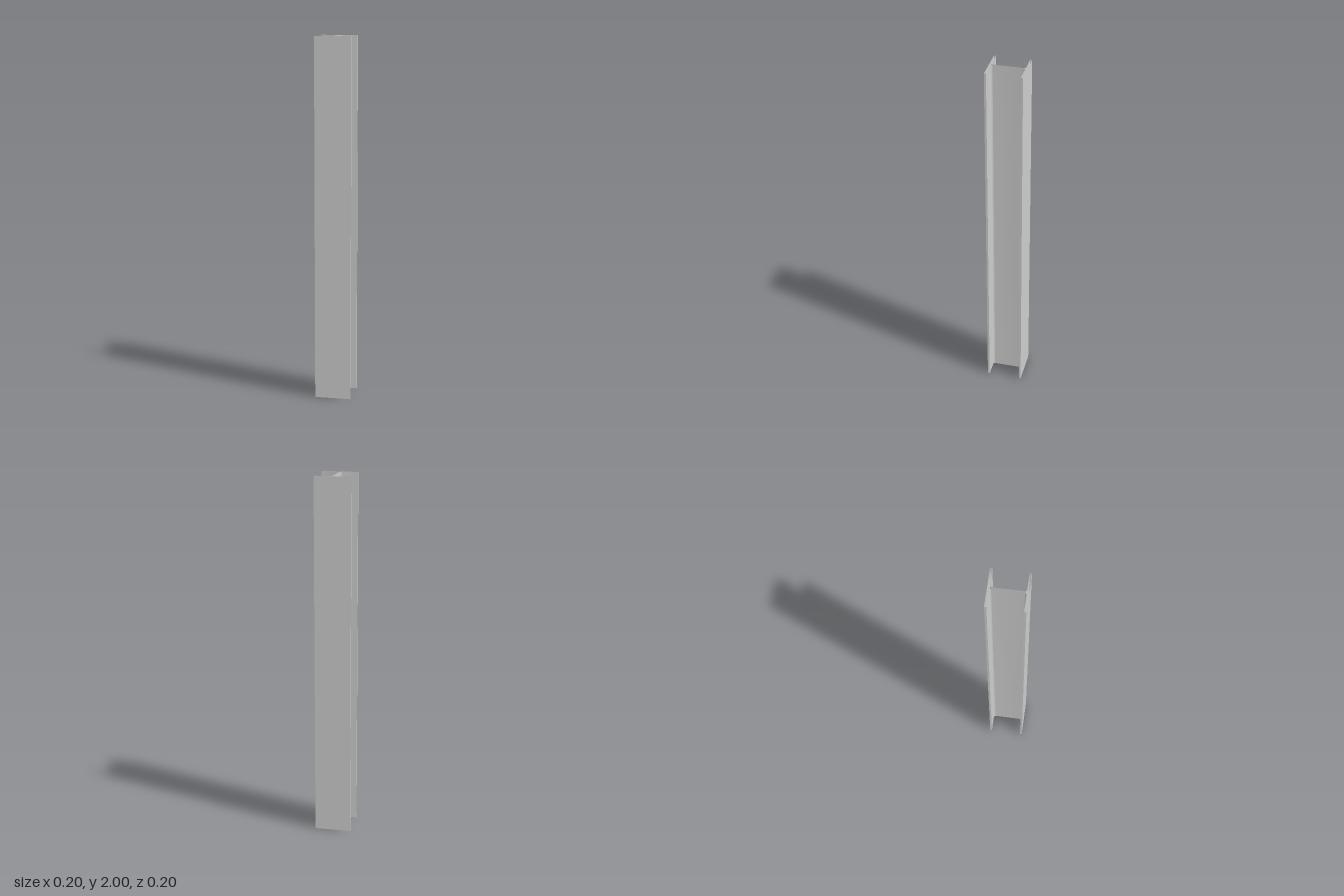
import * as THREE from 'three';
import { toCreasedNormals } from 'three/addons/utils/BufferGeometryUtils.js';

const LENGTH = 2;
const HALF_WIDTH = 0.1;   // flange half width (x)
const HALF_DEPTH = 0.1;   // section half depth (z)
const FLANGE = 0.011;     // flange thickness
const HALF_WEB = 0.0036;  // half the web thickness
const FILLET = 0.01;      // root radius between web and flange

// H-shaped cross-section with rounded roots, counter-clockwise
function sectionShape() {
  const w = HALF_WIDTH, d = HALF_DEPTH, t = HALF_WEB, r = FILLET;
  const inner = d - FLANGE;
  const c = t + r, k = inner - r;
  const s = new THREE.Shape();
  s.moveTo(-w, -d);
  s.lineTo(w, -d);
  s.lineTo(w, -inner);
  s.lineTo(c, -inner);
  s.absarc(c, -k, r, -Math.PI / 2, -Math.PI, true);
  s.lineTo(t, k);
  s.absarc(c, k, r, Math.PI, Math.PI / 2, true);
  s.lineTo(w, inner);
  s.lineTo(w, d);
  s.lineTo(-w, d);
  s.lineTo(-w, inner);
  s.lineTo(-c, inner);
  s.absarc(-c, k, r, Math.PI / 2, 0, true);
  s.lineTo(-t, -k);
  s.absarc(-c, -k, r, 0, -Math.PI / 2, true);
  s.lineTo(-w, -inner);
  s.closePath();
  return s;
}

// Keep only the extruded walls, leaving both ends open
function openEnded(geometry) {
  const walls = geometry.groups.find((g) => g.materialIndex === 1);
  const p = geometry.attributes.position.array;
  const out = new THREE.BufferGeometry();
  out.setAttribute('position', new THREE.BufferAttribute(
    p.slice(walls.start * 3, (walls.start + walls.count) * 3), 3));
  out.computeVertexNormals();
  return out;
}

export function createModel() {
  const group = new THREE.Group();
  group.name = 'steelColumn';

  const extruded = new THREE.ExtrudeGeometry(sectionShape(), {
    depth: LENGTH, bevelEnabled: false, curveSegments: 8,
  });
  const geometry = toCreasedNormals(openEnded(extruded), Math.PI / 6);
  geometry.rotateX(-Math.PI / 2); // stand the beam upright

  const beam = new THREE.Mesh(geometry, new THREE.MeshStandardMaterial({
    color: 0xcccccc, side: THREE.DoubleSide,
  }));
  beam.name = 'flangedBeam';
  group.add(beam);
  return group;
}
